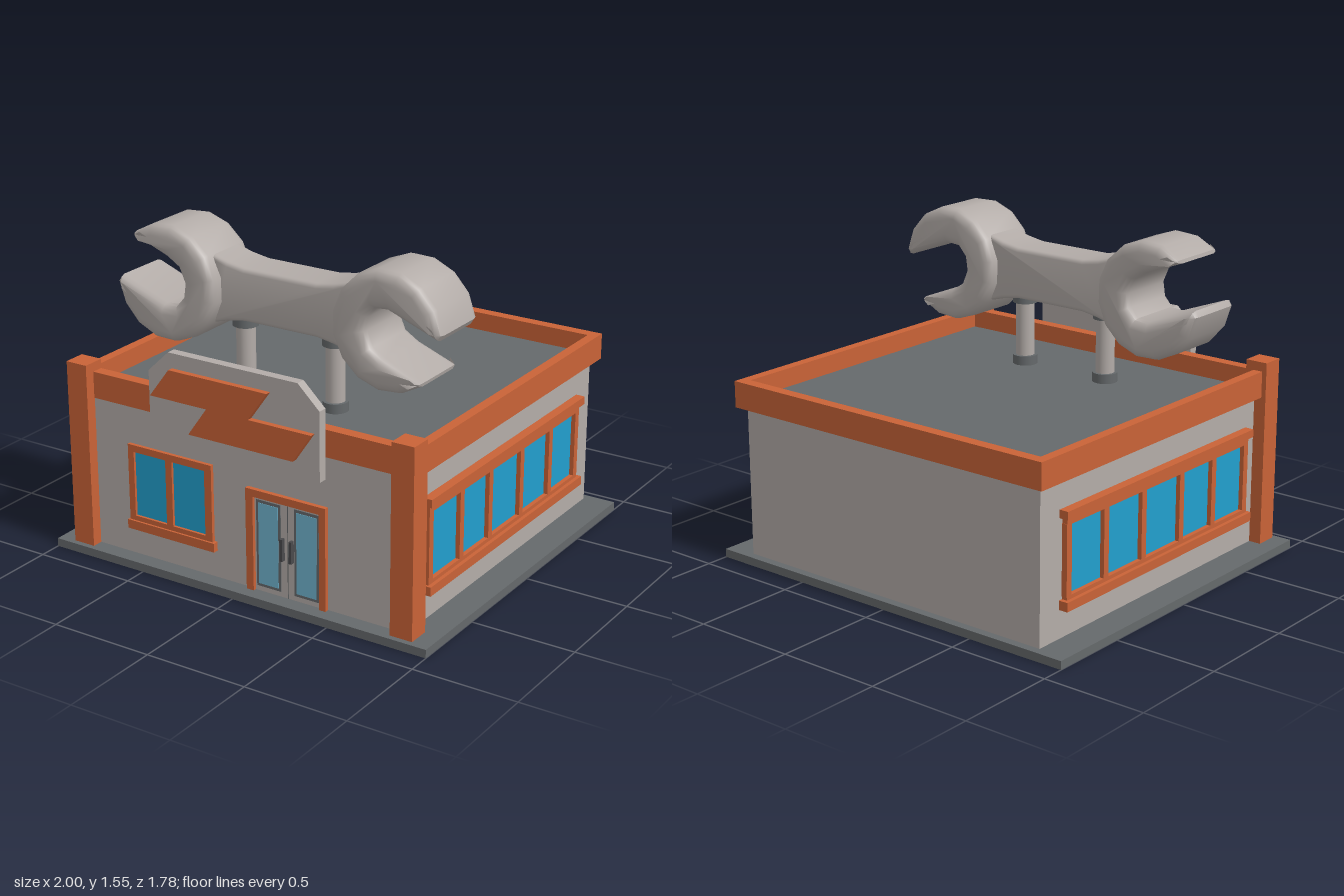
import * as THREE from 'three';
import { toCreasedNormals } from 'three/addons/utils/BufferGeometryUtils.js';

const material = (name, color) => {
  const m = new THREE.MeshStandardMaterial({ color });
  m.name = name;
  return m;
};

export function createModel() {
  const orange = material('orange trim', 0xc96337);
  const grey = material('light grey', 0xb3aca8);
  const dark = material('dark grey', 0x65696b);
  const blue = material('window blue', 0x229fcd);
  const pale = material('door glass', 0x70b4cf);
  const iron = material('handle', 0x4a4a4c);

  const root = new THREE.Group();
  root.name = 'repairShop';
  const group = (name, parent = root) => {
    const g = new THREE.Group();
    g.name = name;
    parent.add(g);
    return g;
  };
  const add = (name, geometry, mat, parent = root) => {
    const mesh = new THREE.Mesh(geometry, mat);
    mesh.name = name;
    parent.add(mesh);
    return mesh;
  };
  // Box given by its limits on each axis
  const box = (name, mat, [x0, x1], [y0, y1], [z0, z1], parent = root) => {
    const m = add(name, new THREE.BoxGeometry(x1 - x0, y1 - y0, z1 - z0), mat, parent);
    m.position.set((x0 + x1) / 2, (y0 + y1) / 2, (z0 + z1) / 2);
    return m;
  };
  const outline = (pts) => new THREE.Shape(pts.map(([x, y]) => new THREE.Vector2(x, y)));
  const plate = (name, mat, pts, z, depth) => {
    const m = add(name, new THREE.ExtrudeGeometry(outline(pts), { depth, bevelEnabled: false }), mat);
    m.position.z = z;
    return m;
  };

  // Ground slab, walls and roof
  box('groundSlab', dark, [-1, 1], [0, 0.04], [-0.89, 0.89]);
  box('walls', grey, [-0.855, 0.855], [0.04, 0.785], [-0.85, 0.81]);
  box('roof', dark, [-0.85, 0.85], [0.78, 0.8], [-0.84, 0.765]);

  // Parapet and front pillars
  const top = [0.762, 0.888];
  box('frontParapet', orange, [-0.81, 0.81], top, [0.757, 0.813]);
  box('backParapet', orange, [-0.893, 0.893], top, [-0.89, -0.835]);
  for (const s of [-1, 1]) {
    const span = (a, b) => (s > 0 ? [a, b] : [-b, -a]);
    box('sideParapet', orange, span(0.845, 0.893), top, [-0.835, 0.76]);
    box('frontPillar', orange, span(0.805, 0.916), [0.04, 0.932], [0.755, 0.863]);

    // Long side window
    const win = group('sideWindow');
    box('glass', blue, span(0.855, 0.861), [0.235, 0.555], [-0.67, 0.64], win);
    box('topFrame', orange, span(0.85, 0.882), [0.555, 0.59], [-0.7, 0.674], win);
    box('bottomFrame', orange, span(0.85, 0.882), [0.21, 0.235], [-0.7, 0.674], win);
    box('lintel', orange, span(0.85, 0.9), [0.588, 0.626], [-0.72, 0.687], win);
    box('sill', orange, span(0.85, 0.9), [0.174, 0.217], [-0.72, 0.687], win);
    for (const z of [-0.685, -0.424, -0.148, 0.14, 0.395, 0.657])
      box('mullion', orange, span(0.85, 0.882), [0.23, 0.56], [z - 0.017, z + 0.017], win);
  }

  // Front window
  const front = group('frontWindow');
  box('glass', blue, [-0.58, -0.185], [0.235, 0.555], [0.808, 0.815], front);
  for (const x of [[-0.61, -0.578], [-0.4, -0.365], [-0.185, -0.147]])
    box('upright', orange, x, [0.21, 0.586], [0.8, 0.828], front);
  box('topFrame', orange, [-0.61, -0.147], [0.553, 0.586], [0.8, 0.828], front);
  box('bottomFrame', orange, [-0.61, -0.147], [0.21, 0.238], [0.8, 0.828], front);
  box('sill', orange, [-0.617, -0.132], [0.172, 0.215], [0.8, 0.838], front);

  // Double door
  const door = group('door');
  box('jamb', orange, [0.04, 0.078], [0.04, 0.53], [0.8, 0.832], door);
  box('jamb', orange, [0.425, 0.458], [0.04, 0.53], [0.8, 0.832], door);
  box('doorLintel', orange, [0.04, 0.458], [0.495, 0.53], [0.8, 0.832], door);
  box('seam', dark, [0.25, 0.254], [0.04, 0.495], [0.808, 0.816], door);
  for (const s of [-1, 1]) {
    const span = (a, b) => (s > 0 ? [0.252 + a, 0.252 + b] : [0.252 - b, 0.252 - a]);
    box('leaf', grey, span(0.002, 0.174), [0.04, 0.495], [0.805, 0.815], door);
    box('glassBorder', dark, span(0.036, 0.164), [0.065, 0.482], [0.81, 0.819], door);
    box('doorGlass', pale, span(0.048, 0.152), [0.078, 0.468], [0.813, 0.821], door);
    box('handle', iron, span(0.017, 0.031), [0.222, 0.328], [0.815, 0.836], door);
  }

  // Sign board with a raised zigzag
  plate('signBoard', grey, [[-0.45, 0.66], [0.45, 0.66], [0.45, 0.985], [0.34, 1.09],
    [-0.34, 1.09], [-0.45, 0.985]], 0.815, 0.045);
  plate('zigzagPanel', orange, [[-0.32, 1.02], [-0.425, 0.88], [-0.12, 0.88], [-0.22, 0.74],
    [0.33, 0.74], [0.425, 0.88], [0.1, 0.88], [0.2, 1.02]], 0.86, 0.028);

  // Rooftop posts with collars
  for (const x of [-0.24, 0.24]) {
    const post = group('post');
    post.position.set(x, 0, 0.415);
    add('shaft', new THREE.CylinderGeometry(0.045, 0.045, 0.34, 16), grey, post).position.y = 0.97;
    for (const y of [0.82, 1.13])
      add('collar', new THREE.CylinderGeometry(0.06, 0.06, 0.05, 16), dark, post).position.y = y;
  }

  // Giant wrench, modelled about its own centre
  const wrench = group('wrench');
  wrench.position.set(0, 1.272, 0.404);
  const rounded = (pts, width, bevel) => {
    const g = new THREE.ExtrudeGeometry(outline(pts), {
      depth: width - 2 * bevel, bevelThickness: bevel, bevelSize: bevel,
      bevelOffset: -bevel, bevelSegments: 3,
    });
    g.translate(0, 0, bevel - width / 2);
    return toCreasedNormals(g, 0.75);
  };
  // Open jaw: an arc around the head, closed by a tilted slot with a round end
  const jaw = [];
  for (let i = 0; i <= 13; i++) {
    const a = THREE.MathUtils.degToRad(187 + (i / 13) * 302);
    jaw.push([-0.58 + 0.275 * Math.cos(a), 0.003 + 0.275 * Math.sin(a)]);
  }
  jaw.push([-0.757, 0.2], [-0.57, 0.13], [-0.505, 0.09], [-0.475, 0.02], [-0.485, -0.045],
    [-0.525, -0.09], [-0.59, -0.095], [-0.835, -0.003]);
  const jawGeometry = rounded(jaw, 0.338, 0.045);
  add('leftJaw', jawGeometry, grey, wrench);
  add('rightJaw', jawGeometry, grey, wrench).rotation.z = Math.PI;

  // Waisted handle
  const edge = [[-0.36, 0.162], [-0.28, 0.14], [-0.19, 0.125], [0.19, 0.125], [0.28, 0.14], [0.36, 0.162]];
  const handle = [...edge.map(([x, y]) => [x, -y + 0.004]), ...edge.map(([x, y]) => [-x, y])];
  add('wrenchHandle', rounded(handle, 0.21, 0.02), grey, wrench).position.z = -0.01;

  return root;
}
